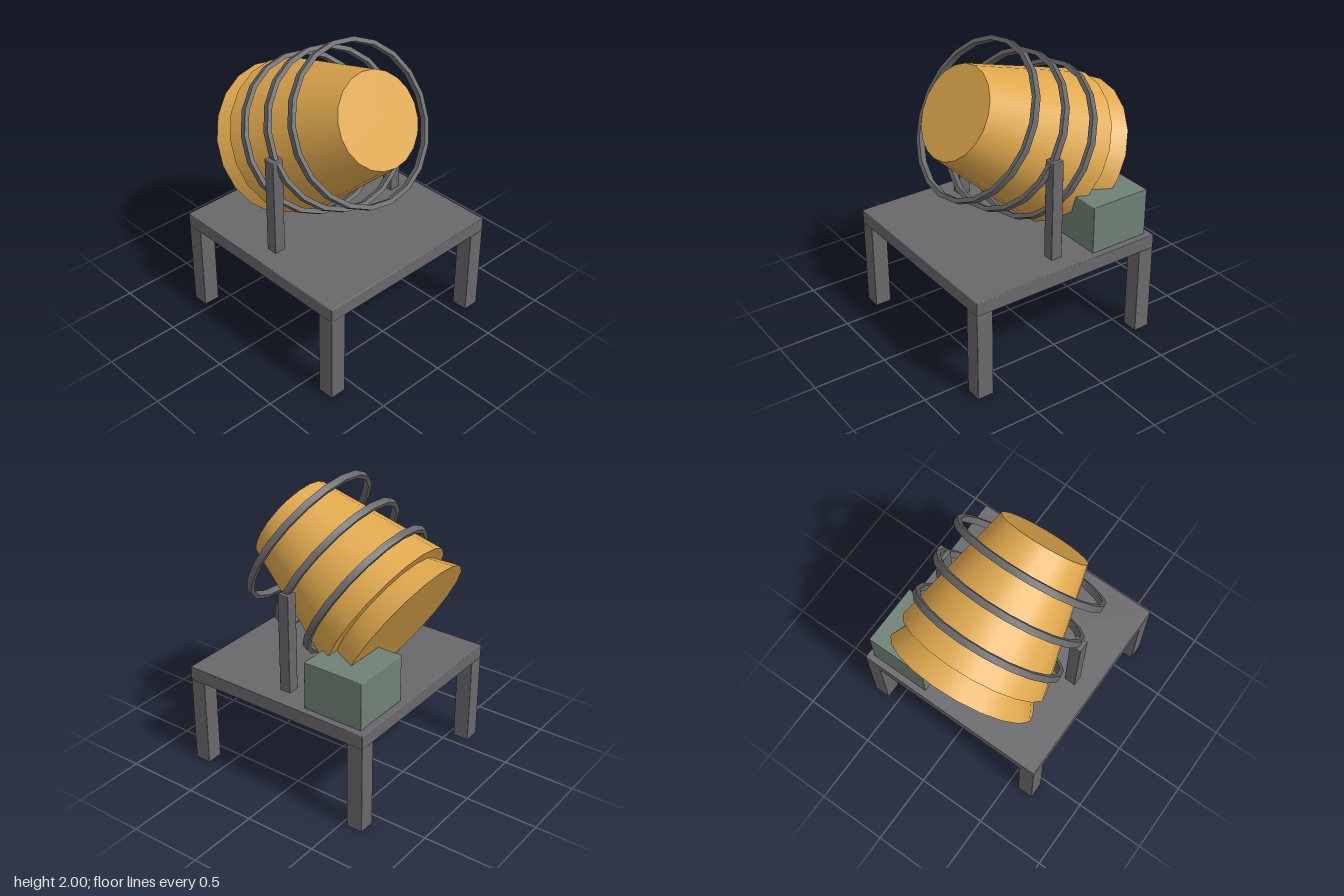
import * as THREE from 'three';
import { toCreasedNormals } from 'three/addons/utils/BufferGeometryUtils.js';
import { RoundedBoxGeometry } from 'three/addons/geometries/RoundedBoxGeometry.js';

const SIDES = 20;

function flatColour(name, color) {
  const m = new THREE.MeshStandardMaterial({ color });
  m.name = name;
  return m;
}

export function createModel() {
  const model = new THREE.Group();
  model.name = 'drumMixer';
  const steel = flatColour('steelGrey', 0x69696b);
  const orange = flatColour('drumOrange', 0xdfa84d);
  const green = flatColour('motorGreen', 0x6f8176);

  const add = (parent, name, geometry, material, x = 0, y = 0, z = 0) => {
    const mesh = new THREE.Mesh(geometry, material);
    mesh.name = name;
    mesh.position.set(x, y, z);
    parent.add(mesh);
    return mesh;
  };
  // Slightly softened box given by its limits on each axis
  const box = (name, material, [x0, x1], [y0, y1], [z0, z1]) =>
    add(model, name, new RoundedBoxGeometry(x1 - x0, y1 - y0, z1 - z0, 1, 0.005), material,
      (x0 + x1) / 2, (y0 + y1) / 2, (z0 + z1) / 2);

  // Stand
  box('tableTop', steel, [-0.69, 0.69], [0.616, 0.713], [-0.653, 0.73]);
  for (const x of [-0.69, 0.575]) {
    for (const z of [-0.653, 0.615]) {
      box('leg', steel, [x, x + 0.115], [0, 0.616], [z, z + 0.115]);
    }
  }

  // Posts carrying the drum
  for (const x of [-0.522, 0.522]) {
    box('post', steel, [x - 0.04, x + 0.04], [0.71, 1.393], [0, 0.08]);
  }

  // Motor housing
  box('motorBox', green, [0.22, 0.647], [0.713, 1.042], [-0.61, -0.182]);

  // Drum assembly, its axis tipped 30 degrees above horizontal
  const drum = new THREE.Group();
  drum.name = 'drumAssembly';
  drum.position.set(0, 1.395, 0.04);
  drum.rotation.x = Math.PI / 3;
  model.add(drum);
  add(drum, 'drum', new THREE.CylinderGeometry(0.312, 0.52, 0.866, SIDES), orange);
  add(drum, 'rearFlare', new THREE.CylinderGeometry(0.44, 0.52, 0.158, SIDES), orange, 0, -0.512, 0);

  // Hoops of rectangular section
  const ri = 0.506, ro = 0.536, h = 0.022;
  const section = [[ri, -h], [ro, -h], [ro, h], [ri, h], [ri, -h]].map(([r, y]) => new THREE.Vector2(r, y));
  const hoop = toCreasedNormals(new THREE.LatheGeometry(section, SIDES), 0.6);
  for (const y of [-0.257, 0, 0.257]) add(drum, 'hoop', hoop, steel, 0, y, 0);

  return model;
}
